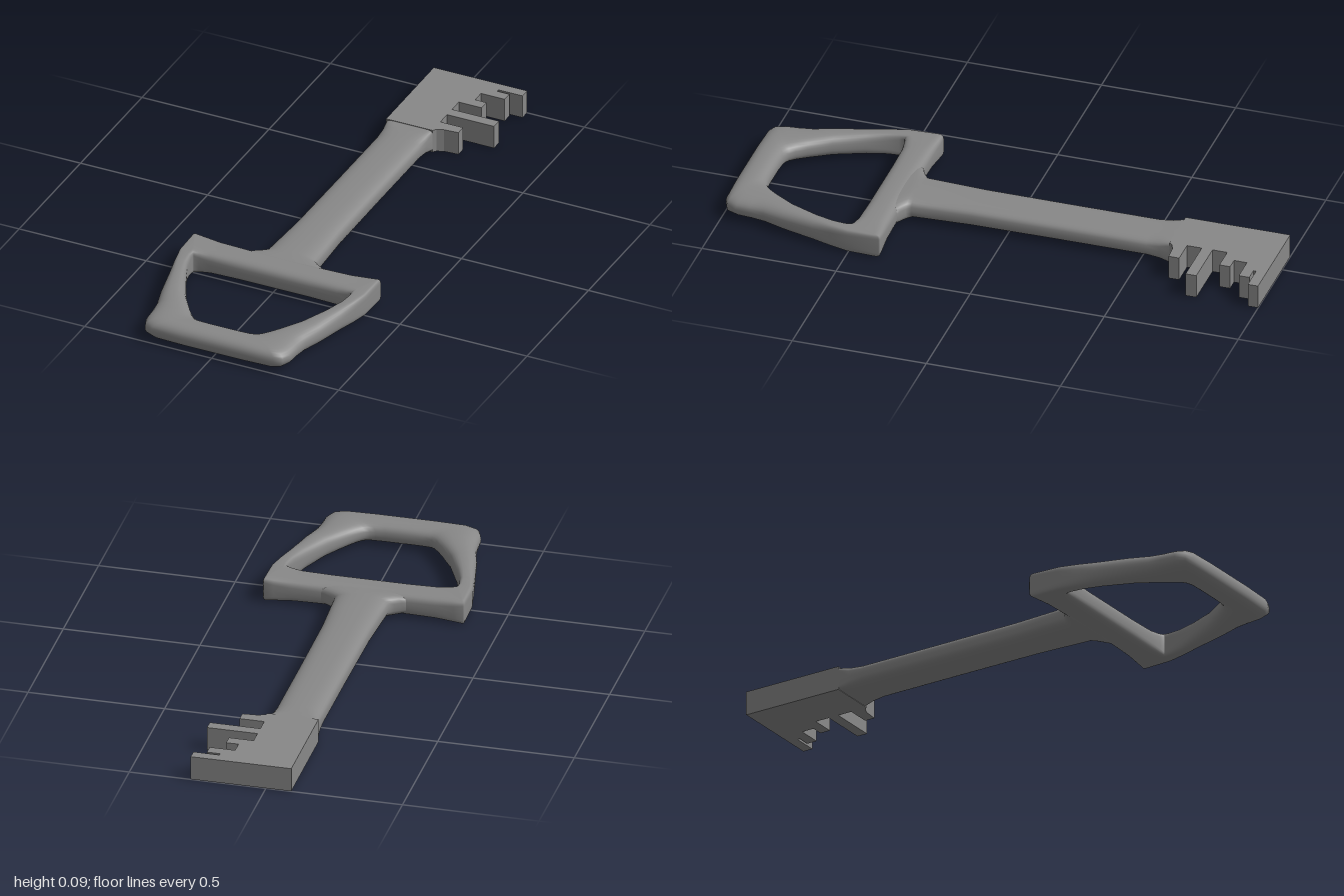
import * as THREE from 'three';

const MID = 0.049; // height of the centre plane

// Smooth skin through stations [xa, za, xb, zb, halfHeight, squareness],
// each a superellipse spanning the points a and b.
function loft(stations, closed) {
  const N = 32, pos = [], idx = [];
  const pw = (v, e) => Math.sign(v) * Math.pow(Math.abs(v), 2 / e);
  for (const [xa, za, xb, zb, h, e] of stations) {
    for (let j = 0; j < N; j++) {
      const t = (j / N) * Math.PI * 2;
      const c = pw(Math.cos(t), e) / 2, s = pw(Math.sin(t), e);
      pos.push((xa + xb) / 2 + (xb - xa) * c, MID + h * s, (za + zb) / 2 + (zb - za) * c);
    }
  }
  const count = stations.length;
  for (let i = 0; i < (closed ? count : count - 1); i++) {
    for (let j = 0; j < N; j++) {
      const k = (j + 1) % N, n = (i + 1) % count;
      const a = i * N + j, b = i * N + k, c = n * N + j, d = n * N + k;
      idx.push(a, c, b, b, c, d);
    }
  }
  const g = new THREE.BufferGeometry();
  g.setAttribute('position', new THREE.Float32BufferAttribute(pos, 3));
  g.setIndex(idx);
  g.computeVertexNormals();
  return g;
}

export function createModel() {
  const group = new THREE.Group();
  const metal = new THREE.MeshStandardMaterial({ color: 0x888888 });
  metal.name = 'grey metal';
  const add = (name, geometry) => {
    const mesh = new THREE.Mesh(geometry, metal);
    mesh.name = name;
    group.add(mesh);
  };

  // Handle ring: outer point, inner point, half height, squareness (+x half)
  const half = [
    [0.00, 0.385, 0.00, 0.500, 0.044, 3],
    [0.14, 0.385, 0.14, 0.500, 0.044, 3],
    [0.26, 0.384, 0.25, 0.501, 0.044, 3.5],
    [0.33, 0.380, 0.29, 0.505, 0.045, 5],
    [0.364, 0.380, 0.308, 0.508, 0.046, 7],
    [0.369, 0.385, 0.311, 0.512, 0.046, 7],
    [0.369, 0.500, 0.310, 0.530, 0.045, 5],
    [0.357, 0.570, 0.300, 0.575, 0.044, 3.5],
    [0.343, 0.640, 0.272, 0.645, 0.043, 2.6],
    [0.318, 0.760, 0.220, 0.750, 0.042, 2.4],
    [0.295, 0.840, 0.168, 0.825, 0.041, 2.4],
    [0.289, 0.890, 0.140, 0.860, 0.041, 2.4],
    [0.286, 0.945, 0.120, 0.877, 0.041, 2.4],
    [0.272, 0.982, 0.105, 0.884, 0.041, 2.4],
    [0.240, 0.996, 0.085, 0.888, 0.041, 2.4],
    [0.120, 1.000, 0.050, 0.890, 0.041, 2.4],
    [0.00, 1.000, 0.00, 0.890, 0.041, 2.4],
  ];
  const mirrored = half.slice(1, -1).reverse()
    .map(([xa, za, xb, zb, h, e]) => [-xa, za, -xb, zb, h, e]);
  add('handle', loft([...half, ...mirrored], true));

  // Shaft: z, half width, half height, squareness
  const shaft = [
    [0.44, 0.21, 0.038, 3], [0.40, 0.19, 0.041, 3], [0.38, 0.145, 0.043, 3],
    [0.365, 0.118, 0.043, 3], [0.35, 0.100, 0.043, 3], [0.25, 0.095, 0.042, 3],
    [0.13, 0.089, 0.041, 3], [-0.20, 0.087, 0.041, 3], [-0.52, 0.087, 0.041, 3],
    [-0.57, 0.088, 0.042, 4], [-0.61, 0.091, 0.0435, 9], [-0.64, 0.091, 0.0435, 9],
  ];
  add('shaft', loft(shaft.map(([z, w, h, e]) => [-w, z, w, z, h, e]), false));

  // Bit: flat blade and teeth cut from one outline, as [x, -z]
  const outline = [
    [-0.092, 0.61], [0.091, 0.61], [0.10, 0.622], [0.125, 0.632], [0.18, 0.636],
    [0.18, 0.675], [0.09, 0.675], [0.09, 0.73], [0.275, 0.73], [0.275, 0.77],
    [0.09, 0.77], [0.09, 0.825], [0.18, 0.825], [0.18, 0.865], [0.135, 0.865],
    [0.135, 0.913], [0.228, 0.913], [0.228, 0.952], [0.18, 0.952], [0.18, 0.962],
    [0.275, 0.962], [0.275, 1.0], [-0.093, 1.0],
  ];
  const shape = new THREE.Shape(outline.map(([x, y]) => new THREE.Vector2(x, y)));
  const bit = new THREE.ExtrudeGeometry(shape, { depth: 0.09, bevelEnabled: false });
  bit.rotateX(-Math.PI / 2);
  bit.translate(0, MID - 0.045, 0);
  add('bit', bit);

  return group;
}
